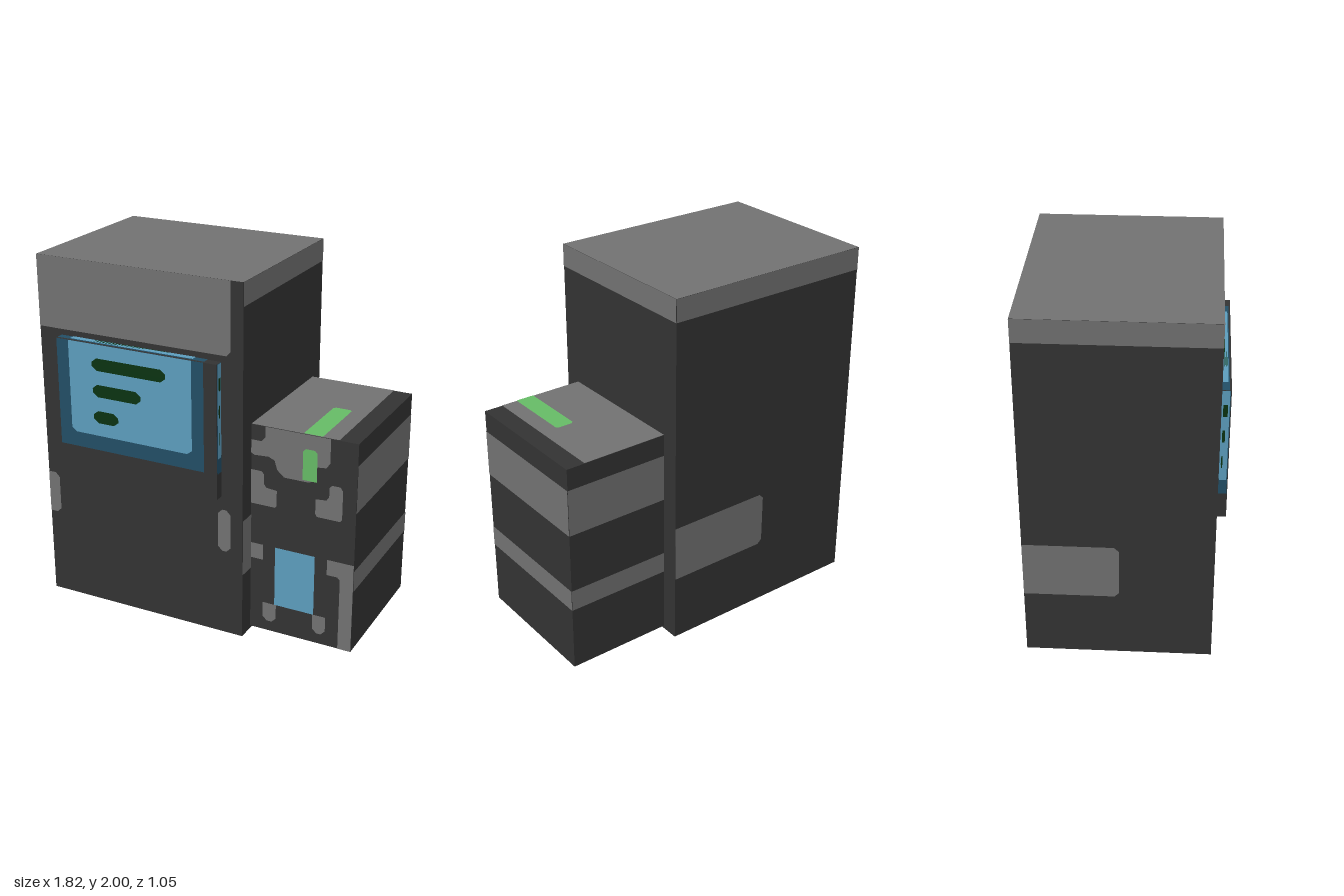
import * as THREE from 'three';

const mat = (name, color) => {
  const m = new THREE.MeshStandardMaterial({ color });
  m.name = name;
  return m;
};

export function createModel() {
  const dark = mat('charcoal', 0x333333);
  const grey = mat('grey', 0x717171);
  const blue = mat('light blue', 0x5c9dbd);
  const navy = mat('dark blue', 0x224e66);
  const green = mat('green', 0x66bb66);
  const ink = mat('dark green', 0x0a3211);
  const model = new THREE.Group();
  model.name = 'terminal';

  // rotation turning a flat plate towards each side
  const turn = {
    front: [0, 0, 0], back: [0, Math.PI, 0], right: [0, -Math.PI / 2, 0], left: [0, Math.PI / 2, 0],
    top: [-Math.PI / 2, 0, 0], bottom: [Math.PI / 2, 0, 0],
  };

  // box given by its limits, with an optional different top material
  function box(name, [x0, y0, z0], [x1, y1, z1], top = dark) {
    const geo = new THREE.BoxGeometry(x1 - x0, y1 - y0, z1 - z0);
    const mesh = new THREE.Mesh(geo, [dark, dark, top, dark, dark, dark]);
    mesh.name = name;
    mesh.position.set((x0 + x1) / 2, (y0 + y1) / 2, (z0 + z1) / 2);
    model.add(mesh);
  }

  // group holding plates on one side; d is the distance of that side from the origin
  function side(name, dir, d) {
    const g = new THREE.Group();
    g.name = name;
    g.rotation.set(...turn[dir]);
    g.position.set(0, 0, d).applyEuler(g.rotation);
    model.add(g);
    return g;
  }

  // thin plate from an outline
  function plate(g, name, pts, material, lift = 0.002) {
    const shape = new THREE.Shape(pts.map(([x, y]) => new THREE.Vector2(x, y)));
    const mesh = new THREE.Mesh(new THREE.ShapeGeometry(shape), material);
    mesh.name = name;
    mesh.position.z = lift;
    g.add(mesh);
  }

  // rectangle with cut corners: cuts = bottom left, bottom right, top right, top left
  function rect(x0, y0, x1, y1, cuts = '0000', c = 0.025) {
    const [a, b, d, e] = [...cuts].map((k) => k * c);
    const pts = [[x0 + a, y0], [x1 - b, y0], [x1, y0 + b], [x1, y1 - d],
      [x1 - d, y1], [x0 + e, y1], [x0, y1 - e], [x0, y0 + a]];
    return pts.filter((p, i) => {
      const q = pts[(i + 1) % 8];
      return Math.hypot(p[0] - q[0], p[1] - q[1]) > 1e-6;
    });
  }

  // main cabinet
  box('cabinet', [-0.91, 0, -0.52], [0.31, 2, 0.47], grey);
  const front = side('cabinetFront', 'front', 0.47);
  plate(front, 'headPanel', rect(-0.91, 1.605, 0.24, 2, '0100'), grey);
  plate(front, 'leftMark', rect(-0.91, 0.5, -0.84, 0.745, '0110'), grey);
  plate(front, 'rightMark', rect(0.165, 0.5, 0.24, 0.745, '1111'), grey);

  const right = side('cabinetLeftSide', 'left', 0.31);
  plate(right, 'topBand', rect(-0.47, 1.875, 0.52, 2), grey);
  plate(right, 'sidePatch', rect(-0.47, 0.38, 0.02, 0.7, '0110'), grey);
  const left = side('cabinetRightSide', 'right', 0.91);
  plate(left, 'topBand', rect(-0.52, 1.875, 0.47, 2), grey);
  plate(left, 'sidePatch', rect(-0.52, 0.38, -0.02, 0.7, '0110'), grey);
  const back = side('cabinetBack', 'back', 0.52);
  plate(back, 'topBand', rect(-0.31, 1.875, 0.91, 2), grey);
  plate(back, 'backPatch', rect(-0.31, 0.38, 0.3, 0.7, '0110'), grey);
  const base = side('cabinetBottom', 'bottom', 0);
  plate(base, 'basePatch', rect(-0.91, -0.28, -0.3, -0.1, '0110', 0.04), grey);
  plate(base, 'baseFrontBand', rect(-0.91, 0.39, 0.31, 0.47), grey);

  // screen: the same picture is laid across its front and squeezed over its rim
  box('screen', [-0.775, 0.82, 0.47], [0.185, 1.57, 0.52]);
  function screenFace(name, dir, d, x0, y0, x1, y1) {
    const g = side(name, dir, d);
    const X = (u) => x0 + (x1 - x0) * u;
    const Y = (v) => y0 + (y1 - y0) * v;
    const add = (n, a, b, c, e, cuts, m, lift) =>
      plate(g, n, rect(a, b, c, e, cuts, 0.03).map(([u, v]) => [X(u), Y(v)]), m, lift);
    add('screenBorder', 0, 0.193, 0.922, 1, '0000', navy, 0.002);
    add('screenGlass', 0.078, 0.307, 0.85, 1, '1100', blue, 0.004);
    [[0.805, 0.693], [0.607, 0.536], [0.407, 0.388]].forEach(([v, end]) =>
      add('screenLine', 0.229, v, end, v + 0.093, '1111', ink, 0.006));
  }
  screenFace('screenFront', 'front', 0.52, -0.775, 0.82, 0.185, 1.57);
  screenFace('screenLeftRim', 'left', 0.185, -0.52, 0.82, -0.47, 1.57);
  screenFace('screenRightRim', 'right', 0.775, 0.47, 0.82, 0.52, 1.57);
  screenFace('screenTopRim', 'top', 1.57, -0.775, -0.52, 0.185, -0.47);
  screenFace('screenBottomRim', 'bottom', -0.82, -0.775, 0.47, 0.185, 0.52);

  // side unit
  box('sideUnit', [0.31, 0.015, -0.42], [0.905, 1.22, 0.37]);
  const unitSide = side('unitLeftSide', 'left', 0.905);
  const unitBack = side('unitBack', 'back', 0.42);
  for (const [y0, y1] of [[0.38, 0.5], [0.835, 1.1]]) {
    plate(unitSide, 'sideBand', rect(-0.37, y0, 0.42, y1), grey);
    plate(unitBack, 'backBand', rect(-0.905, y0, -0.31, y1), grey);
  }
  const unitTop = side('unitTop', 'top', 1.22);
  plate(unitTop, 'topPanel', rect(0.31, -0.37, 0.8, 0.42), grey);
  plate(unitTop, 'topLight', rect(0.605, -0.37, 0.71, 0.03, '0011', 0.012), green, 0.004);
  const unitBase = side('unitBottom', 'bottom', -0.015);
  for (const [z0, z1] of [[-0.285, -0.195], [-0.08, 0.12], [0.34, 0.37]]) {
    plate(unitBase, 'baseBand', rect(0.31, z0, 0.905, z1), grey);
  }

  // side unit front
  const face = side('unitFront', 'front', 0.37);
  plate(face, 'upperPanel', [[0.39, 1.22], [0.755, 1.22], [0.755, 1.085], [0.735, 1.055], [0.685, 1.05],
    [0.675, 0.975], [0.64, 0.955], [0.5, 0.955], [0.46, 0.99], [0.445, 1.04], [0.41, 1.055],
    [0.33, 1.05], [0.31, 1.06], [0.31, 1.135], [0.37, 1.135], [0.39, 1.16]], grey);
  plate(face, 'frontLight', rect(0.605, 0.965, 0.685, 1.14, '0011', 0.015), green, 0.004);
  plate(face, 'leftBracket', [[0.31, 0.77], [0.45, 0.77], [0.46, 0.78], [0.46, 0.87], [0.4, 0.875],
    [0.385, 0.895], [0.385, 0.95], [0.37, 0.965], [0.31, 0.965]], grey);
  plate(face, 'rightBracket', [[0.69, 0.77], [0.82, 0.77], [0.83, 0.785], [0.83, 0.945], [0.815, 0.965],
    [0.77, 0.965], [0.755, 0.95], [0.755, 0.895], [0.74, 0.875], [0.68, 0.87], [0.68, 0.785]], grey);
  plate(face, 'window', rect(0.455, 0.185, 0.685, 0.535), blue);
  plate(face, 'leftTab', rect(0.31, 0.445, 0.385, 0.535), grey);
  plate(face, 'rightTrim', [[0.755, 0.535], [0.755, 0.445], [0.815, 0.445], [0.83, 0.43],
    [0.83, 0.015], [0.905, 0.015], [0.905, 0.535]], grey);
  plate(face, 'leftFoot', rect(0.385, 0.075, 0.465, 0.185, '1100'), grey);
  plate(face, 'rightFoot', rect(0.68, 0.075, 0.755, 0.185, '1100'), grey);

  return model;
}
